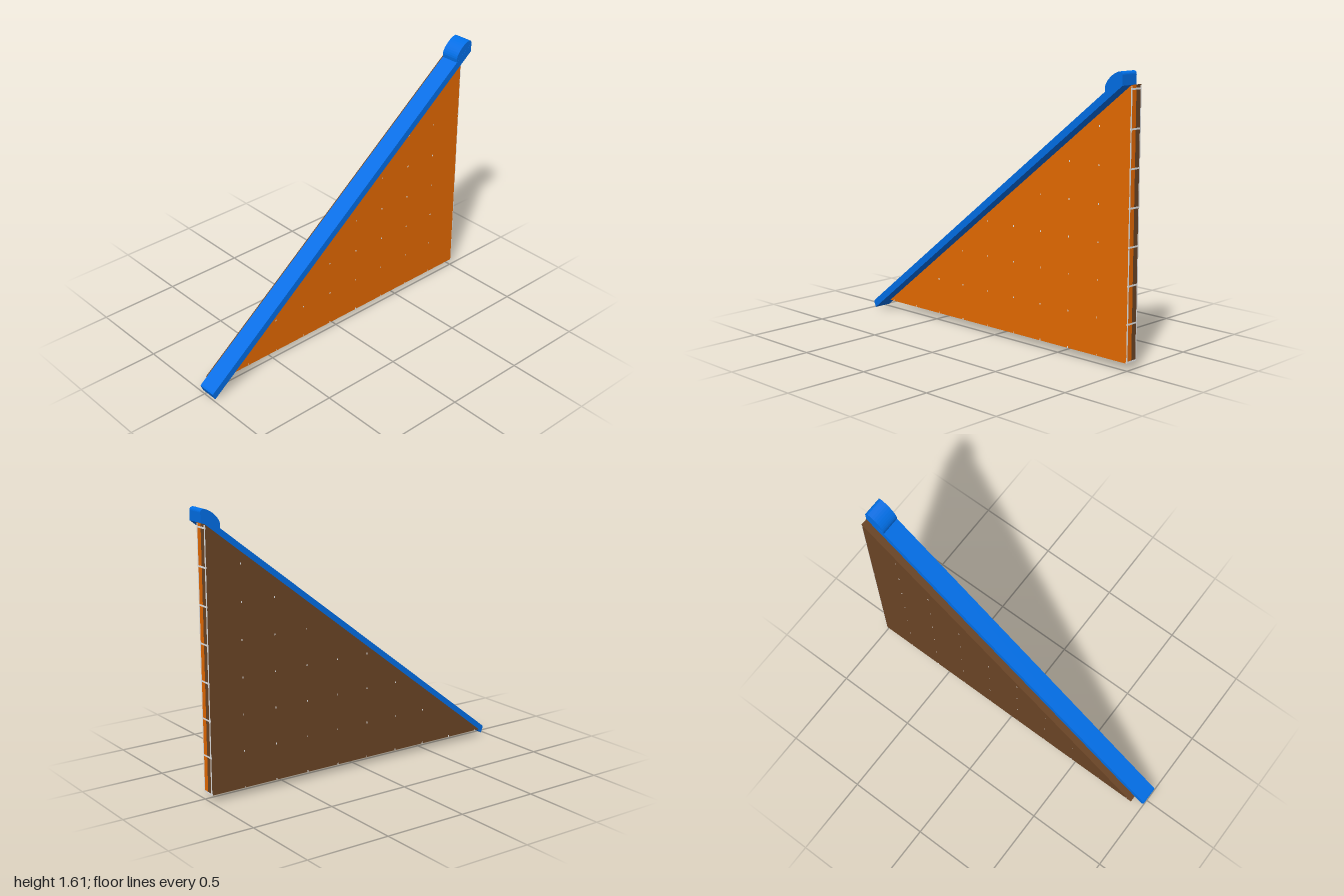
import * as THREE from 'three';

// Extrudes an outline in the XY plane between two depths
function slab(name, shape, zBack, zFront, material) {
  const geometry = new THREE.ExtrudeGeometry(shape, {
    depth: zFront - zBack, bevelEnabled: false, curveSegments: 10,
  });
  geometry.translate(0, 0, zBack);
  const mesh = new THREE.Mesh(geometry, material);
  mesh.name = name;
  return mesh;
}

const outline = (points) => new THREE.Shape(points.map(([x, y]) => new THREE.Vector2(x, y)));

export function createModel() {
  const make = (name, color) => Object.assign(new THREE.MeshStandardMaterial({ color }), { name });
  const orange = make('orange', 0xe66a00);
  const brown = make('brown', 0x6b4526);
  const blue = make('blue', 0x0070ea);
  const white = make('white', 0xf0f0f0);

  const group = new THREE.Group();
  group.name = 'triangularPanel';

  // Two triangular boards, back to back
  const triangle = outline([[-0.93, 0.043], [1, 0.043], [1, 1.54]]);
  group.add(slab('frontBoard', triangle, -0.035, 0.005, orange));
  group.add(slab('backBoard', triangle, -0.076, -0.035, brown));

  const addBox = (name, size, position) => {
    const mesh = new THREE.Mesh(new THREE.BoxGeometry(...size), white);
    mesh.name = name;
    mesh.position.set(...position);
    group.add(mesh);
  };

  // Thin white edging on the upright side of the boards
  addBox('frontEdging', [0.003, 1.492, 0.007], [0.9995, 0.789, 0.002]);
  addBox('backEdging', [0.003, 1.492, 0.007], [0.9995, 0.789, -0.073]);
  addBox('lowerEdging', [0.003, 0.006, 0.041], [0.9995, 0.046, -0.0555]);

  // Tiny white pins through the boards on a square grid
  const pitch = 0.21;
  for (let i = 0; i < 10; i++) {
    for (let j = 0; j < 8; j++) {
      const x = 0.998 - i * pitch;
      const y = 0.048 + j * pitch;
      if (y < 0.04 + (x + 0.93) * 0.7756) {
        addBox('gridPin', [0.005, 0.01, 0.083], [x, y, -0.0355]);
      }
    }
  }

  // Sloping rail on the long edge, with a softened lower end
  const rail = outline([
    [-0.985, 0], [1, 1.54], [1, 1.592], [-0.992, 0.047], [-1, 0.038], [-0.998, 0.03],
  ]);
  group.add(slab('rail', rail, -0.035, 0.08, blue));

  // Rounded stop at the top of the rail
  const stop = new THREE.Shape();
  stop.moveTo(1, 1.55);
  stop.lineTo(1, 1.595);
  stop.quadraticCurveTo(0.999, 1.612, 0.98, 1.613);
  stop.bezierCurveTo(0.94, 1.607, 0.885, 1.56, 0.882, 1.522);
  stop.lineTo(0.884, 1.48);
  stop.closePath();
  group.add(slab('railStop', stop, -0.0345, 0.0795, blue));

  return group;
}
